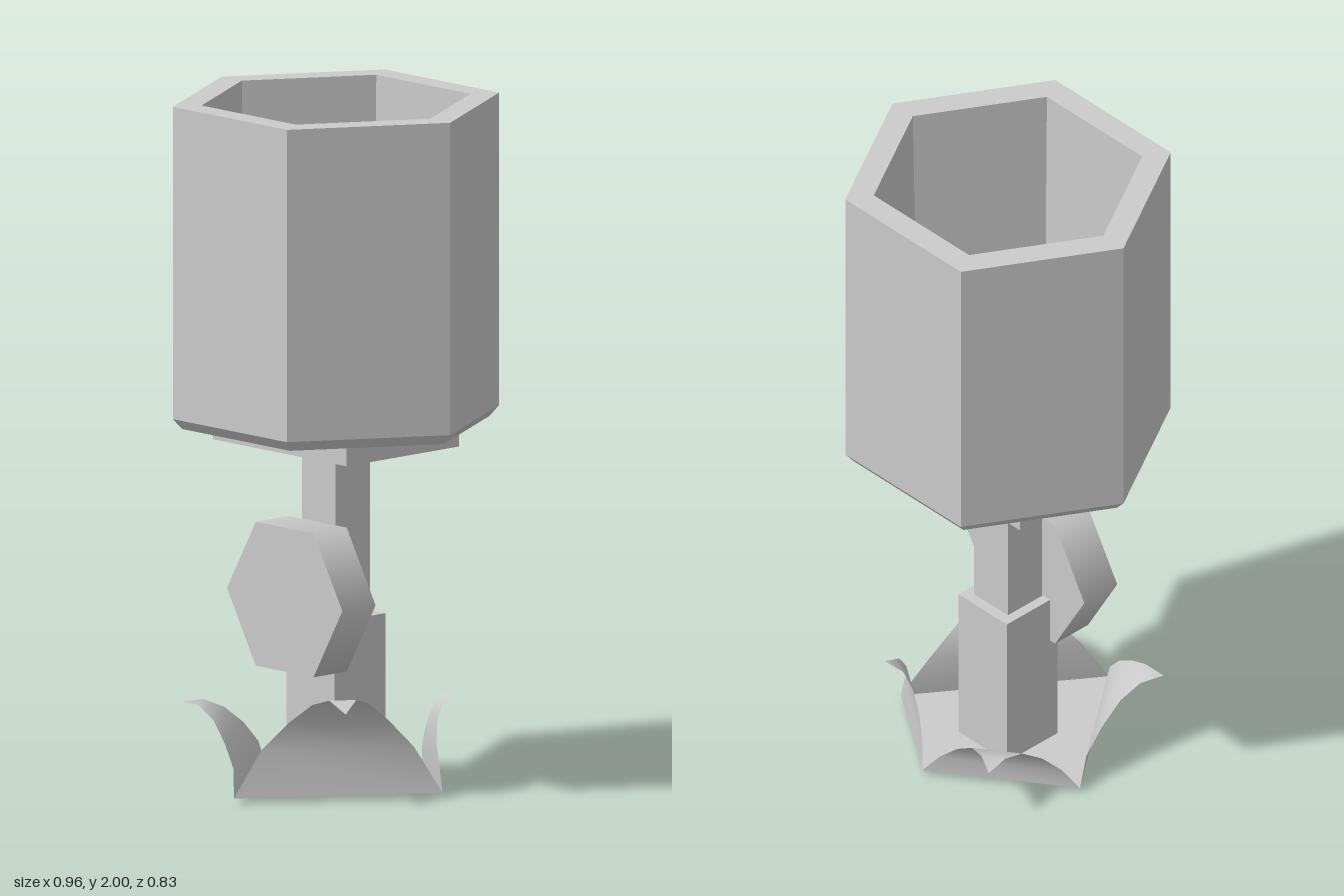
import * as THREE from 'three';

const flat = new THREE.MeshStandardMaterial({ color: 0xcccccc, flatShading: true });
const smooth = new THREE.MeshStandardMaterial({ color: 0xcccccc });
const sheet = new THREE.MeshStandardMaterial({ color: 0xcccccc, side: THREE.DoubleSide });

function box(w, d, y0, y1) {
  return new THREE.BoxGeometry(w, y1 - y0, d).translate(0, (y0 + y1) / 2, 0);
}

// Curled leaf growing from base edge a-b; rows are [outward offset, height, width ratio]
function leaf(a, b, rows) {
  const mid = a.clone().add(b).multiplyScalar(0.5);
  const half = b.clone().sub(a).multiplyScalar(0.5);
  const out = new THREE.Vector2(-half.y, half.x).normalize();
  if (out.dot(mid) < 0) out.negate();
  const pos = [], idx = [];
  rows.forEach(([o, y, w], i) => {
    for (const s of [-1, 1]) {
      pos.push(mid.x + out.x * o + half.x * w * s, y, mid.y + out.y * o + half.y * w * s);
    }
    if (i > 0) {
      const k = 2 * i;
      idx.push(k - 2, k, k - 1);
      if (w > 0) idx.push(k - 1, k, k + 1);
    }
  });
  const g = new THREE.BufferGeometry();
  g.setAttribute('position', new THREE.Float32BufferAttribute(pos, 3));
  g.setIndex(idx);
  g.computeVertexNormals();
  return g;
}

export function createModel() {
  const model = new THREE.Group();
  const add = (name, geometry, material = flat) => {
    const mesh = new THREE.Mesh(geometry, material);
    mesh.name = name;
    model.add(mesh);
  };

  // Hollow six-sided cup with a chamfered foot
  const profile = [
    [0, 1.06], [0.452, 1.06], [0.479, 1.09], [0.479, 2],
    [0.395, 2], [0.375, 1.14], [0, 1.14],
  ].map(([r, y]) => new THREE.Vector2(r, y));
  add('cup', new THREE.LatheGeometry(profile, 6, Math.PI / 6));

  // Plate and square stem
  add('supportPlate', box(0.56, 0.44, 1.0, 1.06));
  add('upperStem', box(0.14, 0.135, 0.5, 1.0));
  add('lowerStem', box(0.2, 0.2, 0, 0.505));

  // Hexagonal disc on the front of the stem
  const disc = new THREE.CylinderGeometry(0.242, 0.242, 0.13, 6);
  disc.rotateY(Math.PI / 6).rotateX(Math.PI / 2).translate(0, 0.57, 0.136);
  add('frontMedallion', disc, smooth);

  // Four-cornered base sheet; corners are x, z
  const corners = [[-0.005, 0.395], [0.34, -0.1], [0.038, -0.302], [-0.335, -0.035]]
    .map(([x, z]) => new THREE.Vector2(x, z));
  const outline = new THREE.Shape(corners.map(c => new THREE.Vector2(c.x, -c.y)));
  add('baseSheet', new THREE.ShapeGeometry(outline).rotateX(-Math.PI / 2).translate(0, 0.015, 0), sheet);

  // One leaf along each base edge
  const leaves = {
    frontLeftLeaf: [[0, 0.015, 1], [-0.015, 0.15, 0.73], [0.01, 0.235, 0.47], [0.045, 0.29, 0.27], [0.09, 0.31, 0.13], [0.15, 0.28, 0]],
    backLeftLeaf: [[0, 0.015, 1], [-0.005, 0.09, 0.84], [-0.005, 0.15, 0.56], [0.005, 0.21, 0.33], [0.03, 0.26, 0.18], [0.078, 0.28, 0]],
    backRightLeaf: [[0, 0.015, 1], [0, 0.07, 0.78], [0.02, 0.12, 0.54], [0.06, 0.16, 0.32], [0.12, 0.18, 0.15], [0.19, 0.175, 0]],
    frontRightLeaf: [[0, 0.015, 1], [0.01, 0.09, 0.8], [0.045, 0.155, 0.6], [0.09, 0.21, 0.36], [0.14, 0.24, 0.17], [0.2, 0.24, 0]],
  };
  Object.entries(leaves).forEach(([name, rows], i) => {
    add(name, leaf(corners[i], corners[(i + 1) % 4], rows), sheet);
  });

  return model;
}
